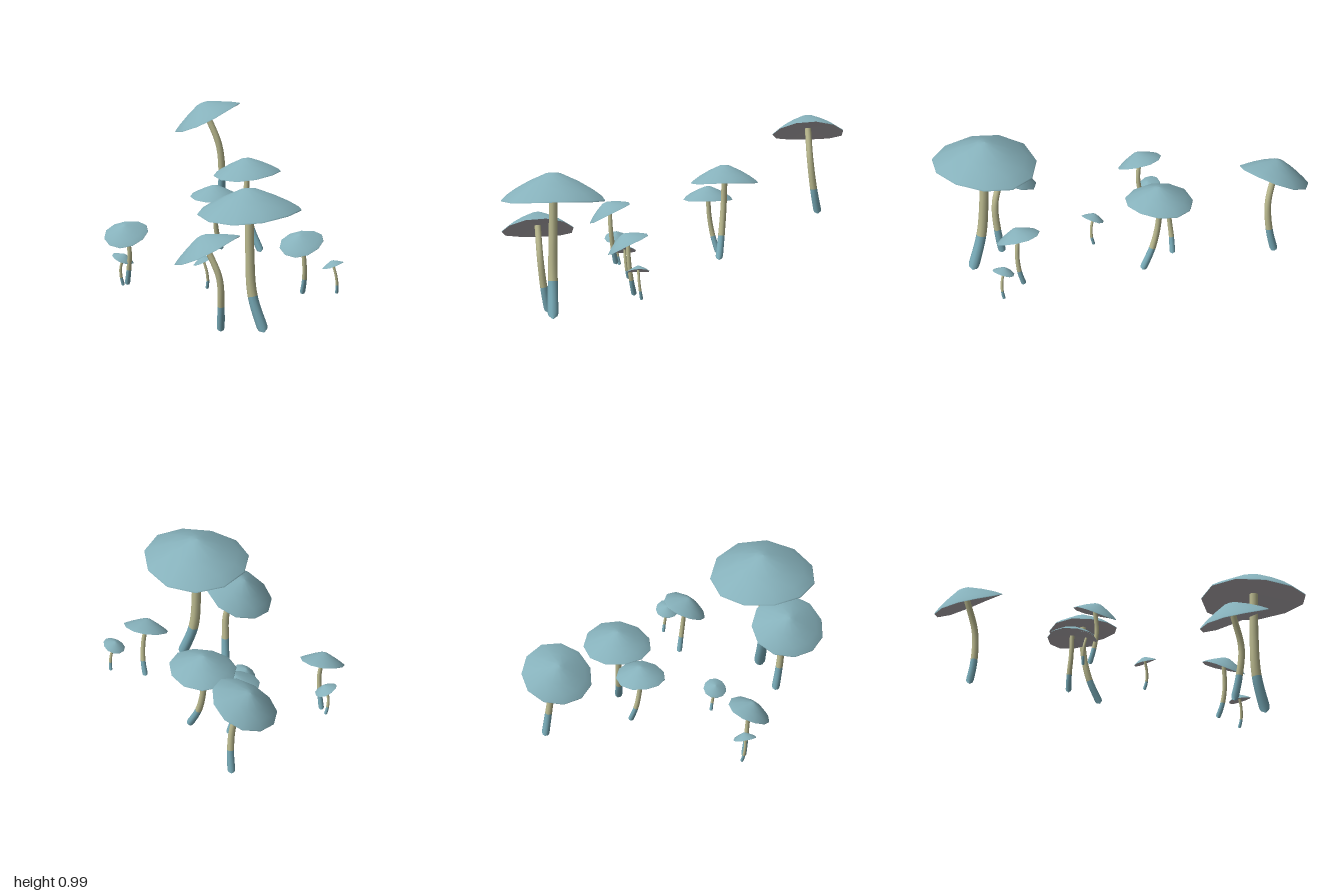
import * as THREE from 'three';

const mat = (name, color) => new THREE.MeshStandardMaterial({ name, color });
const { degToRad, lerp } = THREE.MathUtils;
const SIDES = 11;

// Bell-shaped cap profile (radius, height) for a unit cap, rim to apex, and its shallow underside
const TOP = [[1, 0], [0.99, 0.025], [0.8, 0.15], [0.5, 0.31], [0.15, 0.465], [0, 0.485]];
const UNDER = [[0, 0.13], [1, 0]];

// cap: rim centre; r: cap radius; roll, pitch: cap tilt in degrees
// foot: lower end of the stem; bend: stem x at the two knees
const MUSHROOMS = [
  { cap: [0.288, 0.684, 0.7], r: 0.295, roll: 2.5, foot: [0.375, 0.012, 0.71], bend: [0.288, 0.305] },
  { cap: [0.065, 0.465, 0.765], r: 0.203, roll: 25, foot: [0.12, 0.003, 0.71], bend: [0.128, 0.131] },
  { cap: [-0.055, 0.697, -0.293], r: 0.19, roll: 4, foot: [0.038, 0.268, -0.252], bend: [-0.058, -0.027] },
  { cap: [-0.452, 0.892, -0.8], r: 0.2, roll: 25, foot: [-0.395, 0.44, -0.85], bend: [-0.393, -0.381] },
  { cap: [-0.222, 0.572, -0.217], r: 0.138, roll: 0, foot: [-0.197, 0.265, -0.27], bend: [-0.222, -0.218] },
  { cap: [-0.57, 0.437, 0.3], r: 0.126, roll: 3, pitch: 26, foot: [-0.577, 0.14, 0.262], bend: [-0.553, -0.561] },
  { cap: [0.46, 0.448, 0.3], r: 0.126, roll: 3, pitch: 26, foot: [0.45, 0.152, 0.262], bend: [0.473, 0.47] },
  { cap: [-0.604, 0.284, 0.26], r: 0.065, roll: -22, foot: [-0.606, 0.13, 0.24], bend: [-0.617, -0.616] },
  { cap: [-0.128, 0.3, 0.26], r: 0.064, roll: 24, foot: [-0.116, 0.142, 0.24], bend: [-0.113, -0.108] },
  { cap: [0.632, 0.324, 0.258], r: 0.063, roll: 18, foot: [0.645, 0.162, 0.24], bend: [0.646, 0.651] },
];

// Lathe a profile, then let the rim dip slightly to front and back
function capGeometry(profile) {
  const geo = new THREE.LatheGeometry(profile.map(([x, y]) => new THREE.Vector2(x, y)), SIDES);
  const p = geo.attributes.position;
  for (let i = 0; i < p.count; i++) {
    const x = p.getX(i), z = p.getZ(i);
    p.setY(i, p.getY(i) + 0.05 * (x * x - z * z));
  }
  return geo;
}

// Stem line from inside the cap through two knees to the foot
function stemCurve({ cap, r, roll, foot, bend }) {
  const top = new THREE.Vector3(cap[0] - Math.sin(degToRad(roll)) * 0.1 * r, cap[1] + 0.1 * r, cap[2]);
  const knee = (x, t) => new THREE.Vector3(x, lerp(top.y, foot[1], t), lerp(top.z, foot[2], t * t));
  return new THREE.CatmullRomCurve3([top, knee(bend[0], 0.35), knee(bend[1], 0.7), new THREE.Vector3(...foot)]);
}

// Tube widening downwards to a rounded tip; the lower part takes the foot colour
function stemGeometry(curve, rTop) {
  const SEG = 40, RAD = 10, SPLIT = 28;
  const geo = new THREE.TubeGeometry(curve, SEG, 1, RAD);
  const p = geo.attributes.position, v = new THREE.Vector3();
  for (let j = 0; j <= SEG; j++) {
    const t = j / SEG, c = curve.getPointAt(t);
    const tip = Math.max(0, (t - 0.94) / 0.06);
    const r = rTop * (1 + 0.28 * t * t) * Math.sqrt(Math.max(0, 1 - tip * tip));
    for (let i = 0; i <= RAD; i++) {
      const k = j * (RAD + 1) + i;
      v.fromBufferAttribute(p, k).sub(c).multiplyScalar(r).add(c);
      p.setXYZ(k, v.x, v.y, v.z);
    }
  }
  geo.addGroup(0, SPLIT * RAD * 6, 0);
  geo.addGroup(SPLIT * RAD * 6, (SEG - SPLIT) * RAD * 6, 1);
  return geo;
}

export function createModel() {
  const model = new THREE.Group();
  model.name = 'mushroomCluster';
  const capBlue = mat('capBlue', 0x86b1bb);
  const gillGrey = mat('gillGrey', 0xb9b4b8);
  const stemCream = mat('stemCream', 0xbcbb90);
  const footBlue = mat('footBlue', 0x78abb8);

  const topGeo = capGeometry(TOP);
  const underGeo = capGeometry(UNDER).toNonIndexed();
  underGeo.computeVertexNormals();

  MUSHROOMS.forEach((m, i) => {
    const mushroom = new THREE.Group();
    mushroom.name = `mushroom${i + 1}`;

    // Cap: smooth top and faceted underside
    const cap = new THREE.Group();
    cap.name = 'cap';
    const top = new THREE.Mesh(topGeo, capBlue);
    top.name = 'capTop';
    const under = new THREE.Mesh(underGeo, gillGrey);
    under.name = 'capUnderside';
    cap.add(top, under);
    cap.position.set(...m.cap);
    cap.scale.setScalar(m.r);
    cap.rotation.set(degToRad(m.pitch ?? 0), 0, degToRad(m.roll));

    // Stem with coloured foot
    const stem = new THREE.Mesh(stemGeometry(stemCurve(m), 0.0025 + 0.075 * m.r), [stemCream, footBlue]);
    stem.name = 'stem';
    mushroom.add(cap, stem);
    model.add(mushroom);
  });
  return model;
}
